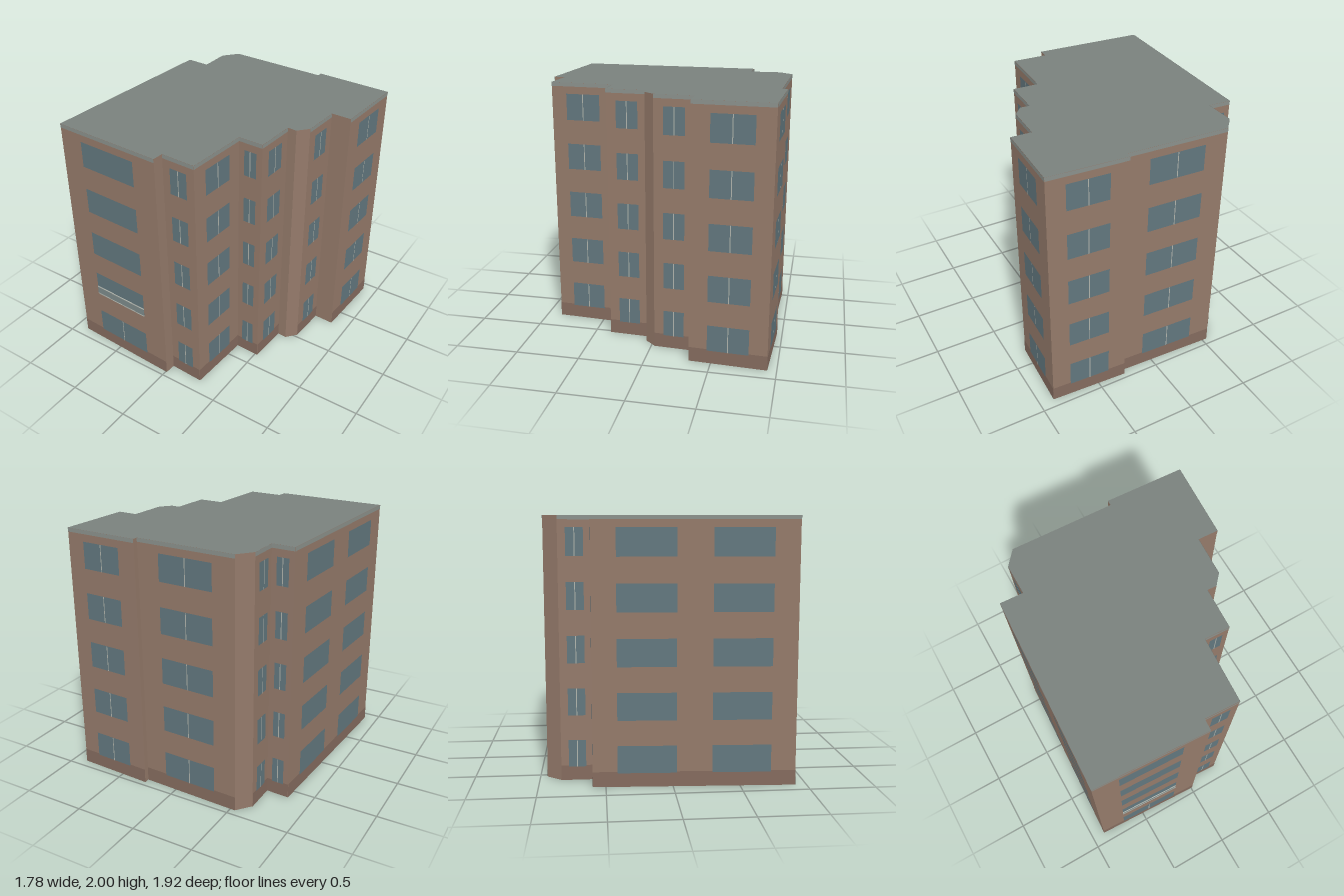
import * as THREE from 'three';

const HEIGHT = 2, FLOORS = 5, FLOOR_STEP = 0.4;
const SILL = 0.105, WINDOW_H = 0.208, PLINTH_H = 0.115, CAP_H = 0.03;

const paint = (color) => new THREE.MeshStandardMaterial({ color, side: THREE.DoubleSide });
const mats = {
  wall: paint(0x947a6a), plinth: paint(0x846b5e), cap: paint(0x8b918c),
  roof: paint(0x7a817d), glass: paint(0x62777e), frame: paint(0xb0b4ac), railGlass: paint(0x7c8a8a),
};

// Footprint corners, each with the wall that starts there:
// [x, z, window width as a share of the wall (0 = plain wall), windows per floor, mullion rule]
const corners = [
  [-0.54, -0.945, 0.55, 1, 'all'],
  [0.27, -0.915, 0],
  [0.27, -0.957, 0.53, 1, 'all'],
  [0.885, -0.928, 0.53, 1, 'all'],
  [0.855, -0.33, 0],
  [0.695, -0.337, 0.52, 1, 'all'],
  [0.68, -0.025, 0],
  [0.61, 0.055, 0],
  [0.535, 0.05, 0.52, 1, 'all'],
  [0.52, 0.375, 0.52, 1, 'all'],
  [0.32, 0.367, 0.53, 1, 'all'],
  [0.29, 0.88, 0.53, 1, 'all'],
  [0.015, 0.867, 0],
  [0.01, 0.955, 0.555, 1, 'ground'],
  [-0.89, 0.915, 0.29, 2, 'none'],
  [-0.815, -0.597, 0.53, 1, 'all'],
  [-0.632, -0.588, 0.53, 1, 'all'],
  [-0.632, -0.835, 0],
];

// Flat panel on a wall, standing out by a small distance
function panel(parent, name, mat, w, h, x, bottom, out) {
  const mesh = new THREE.Mesh(new THREE.PlaneGeometry(w, h), mat);
  mesh.name = name;
  mesh.position.set(x, bottom + h / 2, out);
  parent.add(mesh);
}

function buildWall(a, b) {
  const [ax, az, share, count, mullions] = a;
  const dx = b[0] - ax, dz = b[1] - az, length = Math.hypot(dx, dz);
  const wall = new THREE.Group();
  wall.name = share ? 'windowWall' : 'plainWall';
  wall.position.set(ax + dx / 2, 0, az + dz / 2);
  wall.rotation.y = Math.atan2(dz, -dx);

  panel(wall, 'wallFace', mats.wall, length, HEIGHT, 0, 0, 0);
  if (!share) return wall;
  panel(wall, 'plinth', mats.plinth, length, PLINTH_H, 0, 0, 0.002);
  panel(wall, 'roofCap', mats.cap, length, CAP_H, 0, HEIGHT - CAP_H, 0.002);

  // Windows, floor by floor
  for (let f = 0; f < FLOORS; f++) {
    const y = SILL + f * FLOOR_STEP;
    for (let i = 0; i < count; i++) {
      const x = (i - (count - 1) / 2) * 0.465 * length;
      panel(wall, 'window', mats.glass, share * length, WINDOW_H, x, y, 0.004);
      if (mullions === 'all' || (mullions === 'ground' && f === 0))
        panel(wall, 'mullion', mats.frame, 0.007, WINDOW_H, x, y, 0.006);
    }
  }

  // Glazed guard rail on the first floor of the front
  if (mullions === 'ground') {
    const w = share * length;
    panel(wall, 'railGlass', mats.railGlass, w, 0.07, 0, 0.505, 0.007);
    for (const y of [0.5, 0.57]) {
      const bar = new THREE.Mesh(new THREE.BoxGeometry(w, 0.007, 0.006), mats.frame);
      bar.name = 'railBar';
      bar.position.set(0, y + 0.0035, 0.007);
      wall.add(bar);
    }
  }
  return wall;
}

export function createModel() {
  const model = new THREE.Group();
  model.name = 'apartmentBuilding';

  // Walls around the footprint; the underside stays open
  corners.forEach((c, i) => model.add(buildWall(c, corners[(i + 1) % corners.length])));

  // Flat roof
  const outline = new THREE.Shape(corners.map(([x, z]) => new THREE.Vector2(x, -z)));
  const roof = new THREE.Mesh(new THREE.ShapeGeometry(outline).rotateX(-Math.PI / 2), mats.roof);
  roof.name = 'roof';
  roof.position.y = HEIGHT;
  model.add(roof);
  return model;
}
